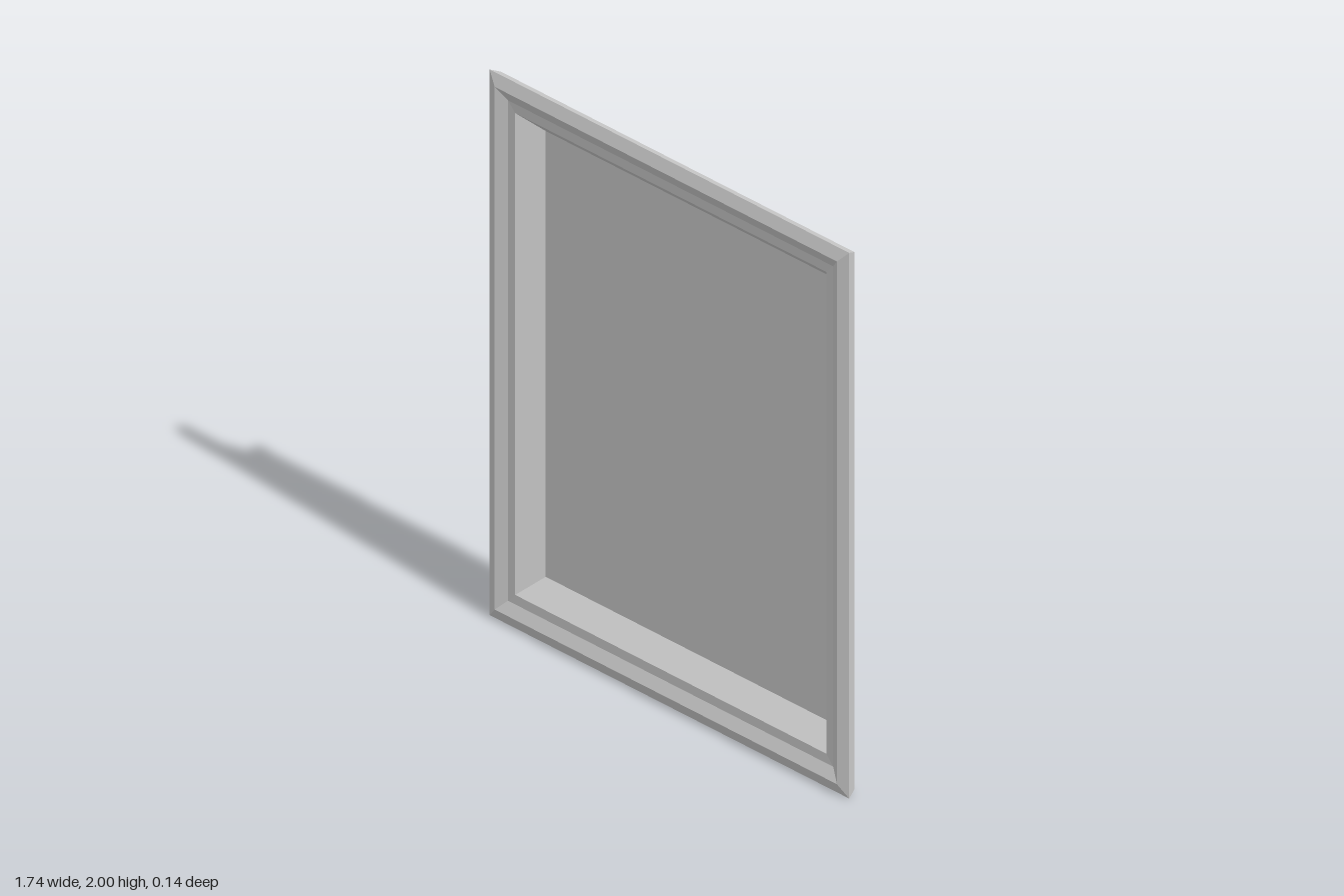
import * as THREE from 'three';

const HALF_W = 0.87, HALF_H = 1;

// Corners of a rectangle set in from the outer edge, counter-clockwise from the front
function ring([inset, z]) {
  const w = HALF_W - inset, h = HALF_H - inset;
  return [[-w, 1 - h, z], [w, 1 - h, z], [w, 1 + h, z], [-w, 1 + h, z]];
}

// Mitred surface swept around the rectangle along an [inset, z] profile, with optional flat caps
function mitred(name, profile, { capStart = false, capEnd = false } = {}) {
  const pos = [];
  const quad = (a, b, c, d) => pos.push(...a, ...b, ...c, ...a, ...c, ...d);
  const rings = profile.map(ring);
  for (let k = 0; k < rings.length - 1; k++) {
    const a = rings[k], b = rings[k + 1];
    for (let i = 0; i < 4; i++) {
      const j = (i + 1) % 4;
      quad(a[i], a[j], b[j], b[i]);
    }
  }
  if (capStart) {
    const r = rings[0];
    quad(r[3], r[2], r[1], r[0]);
  }
  if (capEnd) quad(...rings[rings.length - 1]);

  const geometry = new THREE.BufferGeometry();
  geometry.setAttribute('position', new THREE.Float32BufferAttribute(pos, 3));
  geometry.computeVertexNormals();
  const material = new THREE.MeshStandardMaterial({ color: 0xcccccc, flatShading: true });
  const mesh = new THREE.Mesh(geometry, material);
  mesh.name = name;
  return mesh;
}

export function createModel() {
  const group = new THREE.Group();
  group.name = 'framedPanel';

  // Box-shaped back with a sloped shoulder up to the frame
  group.add(mitred('backPanel',
    [[0.155, -0.071], [0.155, -0.023], [0.1, 0.019]], { capStart: true }));

  // Moulded frame: flat back, splayed rim, raised ridge, inner lip
  group.add(mitred('frame', [
    [0.1, 0.019], [0.015, 0.019], [0, 0.055], [0.042, 0.071], [0.083, 0.05], [0.117, 0.049],
  ]));

  // Sloped reveal leading down to the recessed front face
  group.add(mitred('recessedPanel', [[0.117, 0.049], [0.183, -0.025]], { capEnd: true }));

  return group;
}
